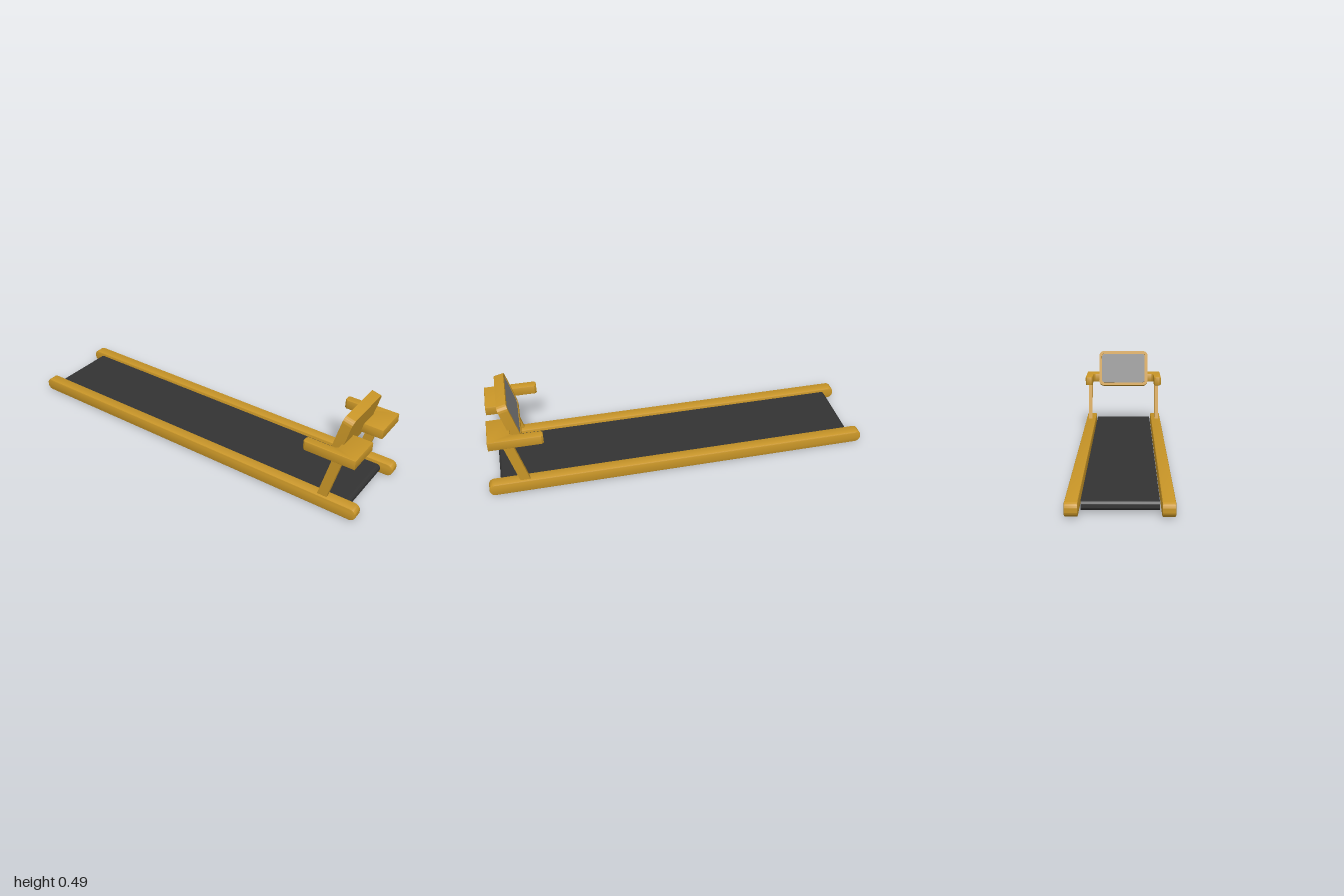
import * as THREE from 'three';
import { toCreasedNormals } from 'three/addons/utils/BufferGeometryUtils.js';

const gold = new THREE.MeshStandardMaterial({ color: 0xc89527 });
const black = new THREE.MeshStandardMaterial({ color: 0x333333 });
const grey = new THREE.MeshStandardMaterial({ color: 0x808080 });

// Rounded rectangle centred on the origin
function roundRect(w, h, r, Type = THREE.Shape) {
  const s = new Type(), x = w / 2, y = h / 2;
  s.moveTo(-x + r, -y);
  s.lineTo(x - r, -y);
  s.absarc(x - r, -y + r, r, -Math.PI / 2, 0);
  s.lineTo(x, y - r);
  s.absarc(x - r, y - r, r, 0, Math.PI / 2);
  s.lineTo(-x + r, y);
  s.absarc(-x + r, y - r, r, Math.PI / 2, Math.PI);
  s.lineTo(-x, -y + r);
  s.absarc(-x + r, -y + r, r, Math.PI, Math.PI * 1.5);
  return s;
}

// Plate of the given total thickness, centred in z, outline kept by the bevel
function plate(shape, thickness, bevel = 0) {
  const g = new THREE.ExtrudeGeometry(shape, {
    depth: thickness - 2 * bevel, curveSegments: 8,
    bevelEnabled: bevel > 0, bevelThickness: bevel, bevelSize: bevel,
    bevelOffset: -bevel, bevelSegments: 2,
  });
  g.translate(0, 0, -thickness / 2 + bevel);
  return g;
}

function add(parent, name, geometry, material, x = 0, y = 0, z = 0) {
  const m = new THREE.Mesh(toCreasedNormals(geometry, 0.6), material);
  m.name = name;
  m.position.set(x, y, z);
  parent.add(m);
  return m;
}

export function createModel() {
  const model = new THREE.Group();
  model.name = 'treadmill';
  const tilt = -0.254;

  // Running belt with rounded ends
  add(model, 'belt', plate(roundRect(1.88, 0.042, 0.0205), 0.334), black, 0, 0.034, 0);

  for (const s of [1, -1]) {
    const side = s > 0 ? 'front' : 'back';

    // Side rail
    add(model, side + 'Rail', plate(roundRect(2, 0.067, 0.03), 0.058, 0.006), gold, 0, 0.0335, s * 0.204);

    // Leaning post, sheared so its ends stay level
    const post = new THREE.BoxGeometry(0.05, 0.26, 0.022);
    post.applyMatrix4(new THREE.Matrix4().makeShear(0, 0, 0.26, 0, 0, 0));
    add(model, side + 'Post', post, gold, 0.845, 0.18, s * 0.209);

    // L-shaped arm: long handle plus a broad pad reaching inward
    const arm = new THREE.Shape([
      [0.71, 0.233], [0.97, 0.233], [0.97, 0.054], [0.858, 0.054], [0.858, 0.18],
      [0.848, 0.19], [0.71, 0.19], [0.70, 0.198], [0.70, 0.225],
    ].map(([x, z]) => new THREE.Vector2(x, s * z)));
    add(model, side + 'Arm', plate(arm, 0.051, 0.004).rotateX(Math.PI / 2), gold, 0, 0.3195, 0);
  }

  // Tilted console: body, raised rim and inset screen
  const display = new THREE.Group();
  display.name = 'console';
  display.position.set(0.853, 0.379, 0);
  display.rotation.z = tilt;
  model.add(display);
  const turn = Math.PI / 2;
  add(display, 'consoleBody', plate(roundRect(0.306, 0.217, 0.03), 0.042).rotateY(turn), gold, 0.004, 0, 0);
  const rim = roundRect(0.306, 0.217, 0.03);
  rim.holes.push(roundRect(0.276, 0.187, 0.018, THREE.Path));
  add(display, 'consoleRim', plate(rim, 0.008).rotateY(turn), gold, -0.021, 0, 0);
  add(display, 'screen', plate(roundRect(0.27, 0.181, 0.016), 0.006).rotateY(turn), grey, -0.02, 0, 0);

  return model;
}
